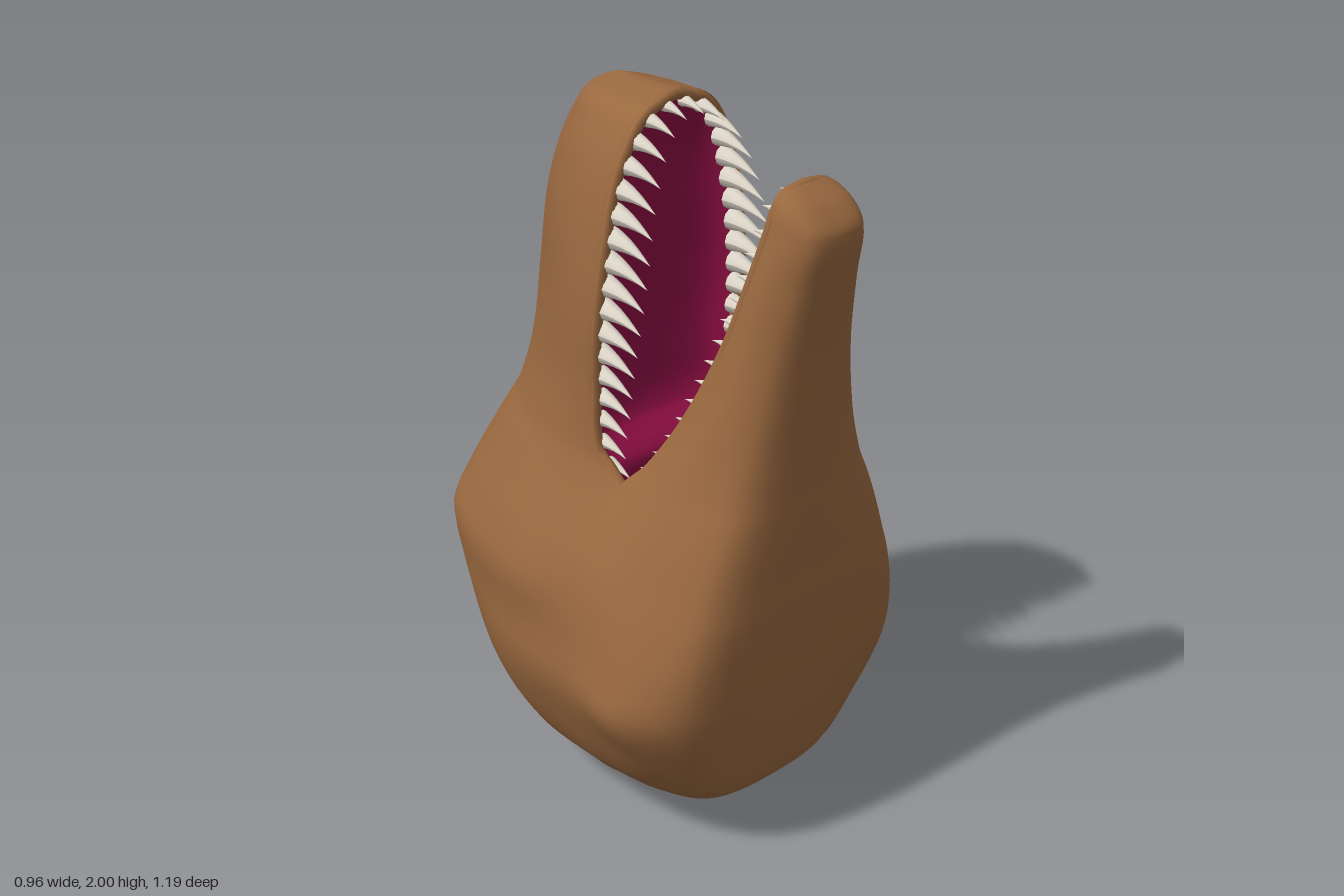
import * as THREE from 'three';
import { mergeGeometries, mergeVertices } from 'three/addons/utils/BufferGeometryUtils.js';

const mat = (color) => new THREE.MeshStandardMaterial({ color, side: THREE.DoubleSide });
const SKIN = mat(0x99683f), MOUTH = mat(0x8c0e42), TONGUE = mat(0xb0697a), IVORY = mat(0xddd5c8);
const V = (x, y, z) => new THREE.Vector3(x, y, z);
const clamp = THREE.MathUtils.clamp;

// Skull sections: y, seam x,z, back half mid x,z, shoulder x,z, centre z
const SKULL_BACK = [
  [0, 0, 0, 0, 0, 0, 0, 0],
  [.012, .08, 0, .075, -.05, .05, -.11, -.12],
  [.05, .16, .02, .15, -.11, .1, -.21, -.235],
  [.11, .235, .04, .22, -.16, .15, -.32, -.345],
  [.2, .32, .05, .3, -.2, .2, -.415, -.445],
  [.35, .4, .08, .375, -.23, .24, -.465, -.49],
  [.49, .45, .1, .42, -.22, .255, -.51, -.53],
  [.62, .44, .1, .43, -.2, .265, -.55, -.55],
  [.75, .42, .1, .445, -.16, .26, -.585, -.56],
  [.85, .385, .1, .41, -.17, .225, -.56, -.56],
  [.95, .325, .09, .36, -.17, .185, -.525, -.56],
  [1.03, .27, .1, .32, -.165, .16, -.485, -.548],
];
// Front half of the same sections: mid x,z, shoulder x,z, centre z
const SKULL_FRONT = [
  [0, 0, 0, 0, 0],
  [.075, .05, .05, .1, .12],
  [.15, .11, .1, .2, .23],
  [.215, .17, .15, .3, .33],
  [.295, .24, .21, .39, .425],
  [.39, .31, .29, .435, .468],
  [.475, .3, .355, .46, .487],
  [.452, .32, .36, .475, .5],
  [.412, .32, .335, .485, .51],
  [.375, .32, .305, .485, .51],
  [.338, .315, .272, .485, .51],
  [.305, .315, .242, .483, .51],
];
// Jaw sections: y, lip x,z, mid x,z, shoulder x,z, centre z
const SNOUT = [
  [1.1, .268, .015, .29, -.155, .14, -.445, -.525],
  [1.25, .265, 0, .26, -.14, .12, -.4, -.495],
  [1.45, .268, .01, .25, -.13, .11, -.37, -.475],
  [1.65, .245, .02, .228, -.13, .11, -.345, -.43],
  [1.8, .21, .02, .195, -.13, .102, -.305, -.37],
  [1.9, .165, .025, .155, -.125, .09, -.26, -.31],
  [1.97, .1, .025, .1, -.11, .068, -.215, -.25],
  [2, 0, .025, 0, -.08, 0, -.15, -.18],
];
const CHIN = [
  [1.1, .235, .16, .275, .31, .213, .48, .51],
  [1.25, .195, .25, .222, .38, .167, .488, .515],
  [1.45, .16, .34, .172, .435, .127, .51, .535],
  [1.65, .135, .405, .143, .475, .1, .547, .57],
  [1.78, .115, .44, .12, .5, .087, .572, .59],
  [1.84, .1, .45, .104, .49, .077, .535, .545],
  [1.875, .065, .453, .067, .465, .045, .482, .488],
  [1.885, 0, .455, 0, .458, 0, .462, .47],
];
const upperRows = [...SKULL_BACK, ...SNOUT];
const lowerRows = [...SKULL_BACK.map((r, i) => [...r.slice(0, 3), ...SKULL_FRONT[i]]), ...CHIN];

// Smooth interpolation of a section table at height y
function section(rows, y) {
  let i = 0;
  while (i < rows.length - 2 && y > rows[i + 1][0]) i++;
  const a = rows[i], b = rows[i + 1], h = b[0] - a[0], t = (y - a[0]) / h;
  const slope = (k, c) => {
    const p = rows[Math.max(k - 1, 0)], q = rows[Math.min(k + 1, rows.length - 1)];
    return (q[c] - p[c]) / (q[0] - p[0]);
  };
  return a.map((v, c) => c === 0 ? y :
    v * (1 + 2 * t) * (1 - t) ** 2 + slope(i, c) * h * t * (1 - t) ** 2 +
    b[c] * t * t * (3 - 2 * t) + slope(i + 1, c) * h * t * t * (t - 1));
}

const heights = (rows, n) => rows.slice(1).flatMap((r, i) =>
  Array.from({ length: n }, (_, k) => rows[i][0] + (r[0] - rows[i][0]) * k / n)).concat(rows[rows.length - 1][0]);

// Skin a list of point profiles, each smoothed by a curve
function loft(profiles, m) {
  const pos = [], idx = [];
  profiles.forEach((pts, i) => {
    const curve = new THREE.CatmullRomCurve3(pts);
    for (let j = 0; j <= m; j++) {
      pos.push(...curve.getPoint(j / m).toArray());
      if (i && j) {
        const d = i * (m + 1) + j, c = d - 1, b = d - m - 1, a = b - 1;
        idx.push(a, b, c, b, d, c);
      }
    }
  });
  const g = new THREE.BufferGeometry();
  g.setAttribute('position', new THREE.Float32BufferAttribute(pos, 3));
  g.setIndex(idx);
  g.computeVertexNormals();
  return g;
}

// Mirror half a profile, from the +x edge to the centre
const mirrored = (half) => [...half, ...half.slice(0, -1).reverse().map((p) => V(-p.x, p.y, p.z))];

function halfHead(rows, flip) {
  return loft(heights(rows, 5).map((y) => {
    const s = section(rows, y);
    const p = mirrored([V(s[1], y, s[2]), V(s[3], y, s[4]), V(s[5], y, s[6]), V(0, y, s[7])]);
    return flip ? p.reverse() : p;
  }), 42);
}

// Concave lining of one jaw, closing towards the throat
function lining(rows, dir) {
  return loft(heights(rows, 5).filter((y) => y > .8).map((y) => {
    const [, lx, z] = section(rows, y);
    const x = Math.max(lx, 0) * Math.min(.95, .95 - (1.05 - y));
    const k = x / .25 * clamp((y - .8) / .2, 0, 1);
    return mirrored([V(x, y - .01, z), V(x * .75, y - .01, z + dir * .07 * k), V(0, y - .01, z + dir * .1 * k)]);
  }), 24);
}

// Arch along the rim of one jaw
function rim(rows, inset, drop, dz) {
  const ys = heights(rows, 2).filter((y) => y >= 1.03);
  return new THREE.CatmullRomCurve3(mirrored(ys.map((y) => {
    const s = section(rows, y);
    return V(Math.max(s[1], 0) * inset, y - drop, s[2] + dz);
  })));
}

// Curved tooth: unit length along y, bending towards +x
const toothGeo = new THREE.ConeGeometry(.22, 1, 10, 5).translate(0, .5, 0);
{
  const p = toothGeo.attributes.position;
  for (let i = 0; i < p.count; i++) p.setX(i, p.getX(i) + .25 * p.getY(i) ** 2);
  toothGeo.computeVertexNormals();
}

function toothRow(name, curve, count, dir, size) {
  const group = new THREE.Group();
  group.name = name;
  const yAxis = dir.clone().normalize();
  const xAxis = V(0, -1, 0).addScaledVector(yAxis, yAxis.y).normalize();
  const basis = new THREE.Matrix4().makeBasis(xAxis, yAxis, xAxis.clone().cross(yAxis));
  for (let i = 0; i < count; i++) {
    const u = .04 + .92 * i / (count - 1);
    const tooth = new THREE.Mesh(toothGeo, IVORY);
    tooth.name = 'tooth';
    tooth.position.copy(curve.getPointAt(u));
    tooth.quaternion.setFromRotationMatrix(basis);
    tooth.scale.setScalar(size(Math.abs(2 * u - 1)));
    group.add(tooth);
  }
  return group;
}

export function createModel() {
  const model = new THREE.Group();
  model.name = 'reptileHead';
  const add = (name, geo, material) => {
    const mesh = new THREE.Mesh(geo, material);
    mesh.name = name;
    model.add(mesh);
  };

  // Skull with both jaws, welded along the side seam
  const skin = mergeGeometries([halfHead(upperRows, false), halfHead(lowerRows, true)]);
  skin.deleteAttribute('normal');
  const head = mergeVertices(skin, 1e-4);
  head.computeVertexNormals();
  add('head', head, SKIN);

  // Lips and mouth lining
  add('upperLip', new THREE.TubeGeometry(rim(upperRows, .94, .015, -.012), 100, .018, 8), SKIN);
  add('lowerLip', new THREE.TubeGeometry(rim(lowerRows, .94, .012, .01), 100, .015, 8), SKIN);
  add('palate', lining(upperRows, -1), MOUTH);
  add('mouthFloor', lining(lowerRows, 1), MOUTH);

  // Teeth: longest along the sides, shorter at the front and the corners
  const side = (d) => Math.sin(Math.PI * clamp(d, 0, 1) ** .8);
  model.add(toothRow('upperTeeth', rim(upperRows, .86, .03, -.01), 34, V(0, 0, 1), (d) => .065 + .075 * side(d)));
  model.add(toothRow('lowerTeeth', rim(lowerRows, .85, .025, .01), 30, V(0, .25, -1), (d) => .05 + .02 * side(d)));

  // Tongue: flattened rings following the lower jaw
  const rings = [];
  for (let i = 0; i <= 20; i++) {
    const t = i / 20, y = .95 + .72 * t;
    const z = .155 + .225 * t ** .85, end = Math.sqrt(1 - t ** 8);
    const w = (.16 - .075 * t) * end, h = .03 * end;
    rings.push(Array.from({ length: 13 }, (_, k) => {
      const a = k / 12 * Math.PI * 2;
      return V(w * Math.cos(a), y, z - h * Math.sin(a));
    }));
  }
  add('tongue', loft(rings, 24), TONGUE);
  return model;
}
